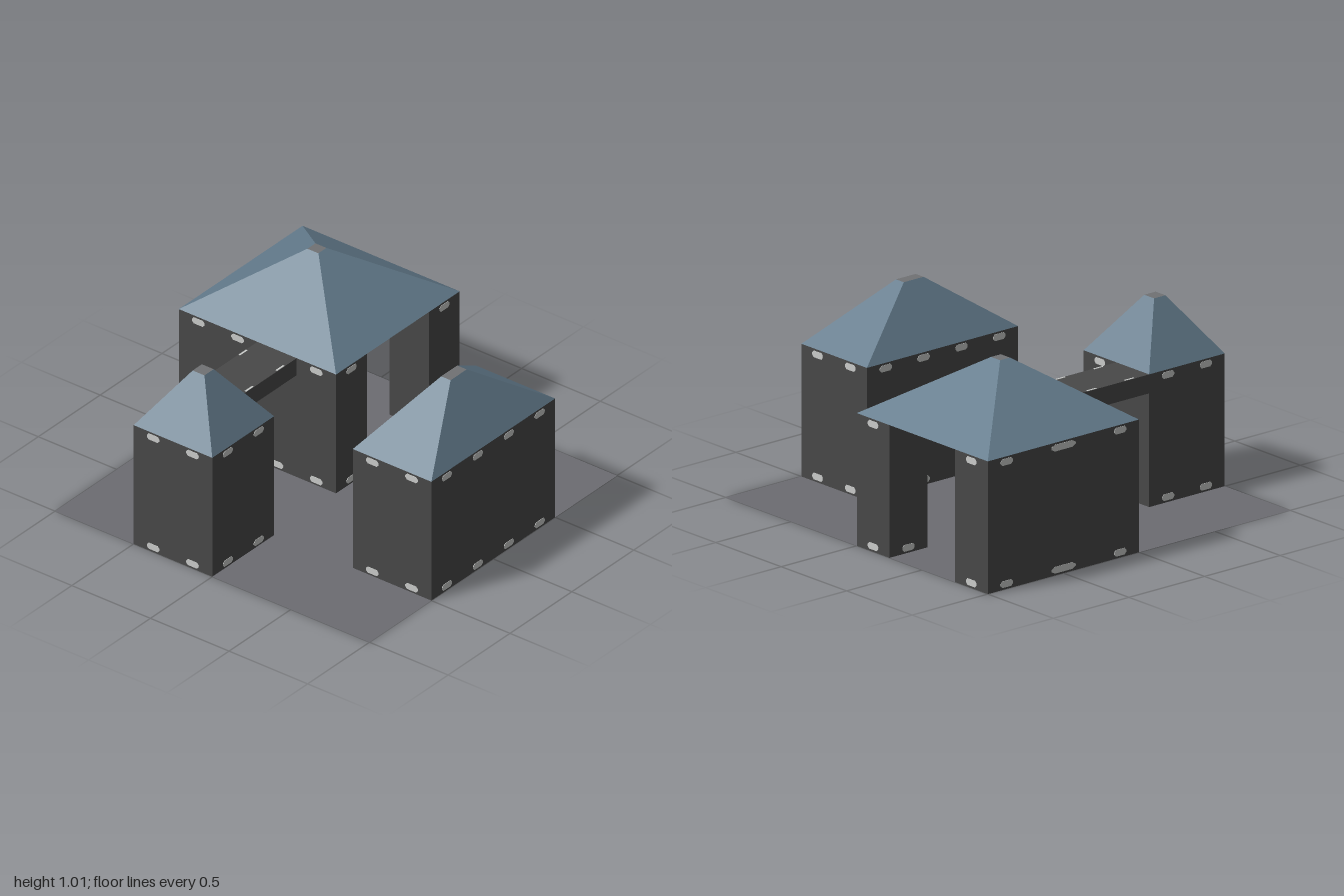
import * as THREE from 'three';

const mat = (name, color) => {
  const m = new THREE.MeshStandardMaterial({ color, side: THREE.DoubleSide });
  m.name = name;
  return m;
};

export function createModel() {
  const model = new THREE.Group();
  const wallGrey = mat('wallGrey', 0x484848);
  const roofBlue = mat('roofBlue', 0x637b8c);
  const groundGrey = mat('groundGrey', 0x6c6c72);
  const plateGrey = mat('plateGrey', 0xc9cbc9);
  const capGrey = mat('capGrey', 0x707274);
  const H = 0.7;

  const add = (parent, name, geo, material, x = 0, y = 0, z = 0) => {
    const mesh = new THREE.Mesh(geo, material);
    mesh.name = name;
    mesh.position.set(x, y, z);
    parent.add(mesh);
    return mesh;
  };

  // Thin pale plate with cut corners, showing on both sides of a wall
  const plateGeometry = (w, h) => {
    const a = w / 2, b = h / 2, cx = w * 0.14, cy = h * 0.35;
    const pts = [[-a, -b + cy], [-a + cx, -b], [a - cx, -b], [a, -b + cy],
      [a, b - cy], [a - cx, b], [-a + cx, b], [-a, b - cy]];
    const shape = new THREE.Shape(pts.map(p => new THREE.Vector2(...p)));
    return new THREE.ExtrudeGeometry(shape, { depth: 0.004, bevelEnabled: false }).translate(0, 0, -0.002);
  };

  // Upright wall between two ground points, split into panels with a plate at top and bottom
  function wall(parent, [ax, az], [bx, bz], panels, turned = false) {
    const len = Math.hypot(bx - ax, bz - az);
    const g = new THREE.Group();
    g.name = 'wall';
    g.position.set((ax + bx) / 2, 0, (az + bz) / 2);
    g.rotation.y = Math.atan2(-(bz - az), bx - ax);
    parent.add(g);
    add(g, 'wallPanel', new THREE.PlaneGeometry(len, H), wallGrey, 0, H / 2, 0);
    if (turned) {
      for (const s of [-1, 1])
        add(g, 'wallPlate', plateGeometry(0.045, 0.22), plateGrey, s * (len / 2 - 0.042), H / 2, 0);
      return;
    }
    const step = len / panels;
    for (let i = 0; i < panels; i++)
      for (const y of [0.028, H - 0.028])
        add(g, 'wallPlate', plateGeometry(step * 0.32, 0.035), plateGrey, -len / 2 + step * (i + 0.5), y, 0);
  }

  // Closed ring of four walls on a rectangular footprint
  function block(name, x0, x1, z0, z1) {
    const g = new THREE.Group();
    g.name = name;
    model.add(g);
    const c = [[x0, z1], [x1, z1], [x1, z0], [x0, z0]];
    c.forEach((p, i) => {
      const q = c[(i + 1) % 4];
      wall(g, p, q, Math.round(Math.hypot(q[0] - p[0], q[1] - p[1]) / 0.25));
    });
    return g;
  }

  // Truncated pyramid roof with a small flat cap, open underneath
  function roof(name, [x0, x1, z0, z1], [u0, u1, w0, w1], top) {
    const lo = [[x0, H, z1], [x1, H, z1], [x1, H, z0], [x0, H, z0]];
    const hi = [[u0, top, w1], [u1, top, w1], [u1, top, w0], [u0, top, w0]];
    const quads = (list) => {
      const pos = list.flatMap(([a, b, c, d]) => [a, b, c, a, c, d].flat());
      const geo = new THREE.BufferGeometry();
      geo.setAttribute('position', new THREE.Float32BufferAttribute(pos, 3));
      geo.computeVertexNormals();
      return geo;
    };
    const slopes = lo.map((p, i) => [p, lo[(i + 1) % 4], hi[(i + 1) % 4], hi[i]]);
    add(model, name, quads(slopes), roofBlue);
    add(model, name + 'Cap', quads([hi]), capGrey);
  }

  // Ground slabs, left open beneath the buildings
  const grounds = [
    [-1, -0.5, 0.5, 1], [0.5, 1, 0.5, 1], [-1, 1, 0, 0.5], [-0.5, 0, -0.5, 0],
    [-1, 0, -1, -0.5], [0.25, 1, -0.75, -0.25], [0.25, 0.75, -0.25, 0],
  ];
  const flat = (x0, x1, z0, z1, up = 1) =>
    new THREE.PlaneGeometry(x1 - x0, z1 - z0).rotateX(-up * Math.PI / 2)
      .translate((x0 + x1) / 2, 0, (z0 + z1) / 2);
  for (const r of grounds) add(model, 'ground', flat(...r), groundGrey);

  // Front house
  block('frontHouse', -0.5, 0.5, 0.5, 1);
  roof('frontHouseRoof', [-0.5, 0.5, 0.5, 1], [-0.065, 0.065, 0.72, 0.78], 1);

  // Small tower
  block('tower', -1, -0.5, -0.5, 0);
  roof('towerRoof', [-1, -0.5, -0.5, 0], [-0.79, -0.715, -0.29, -0.215], 1);

  // Open hall: long side wing, two corner pillars and a back wall
  const hall = new THREE.Group();
  hall.name = 'hall';
  model.add(hall);
  wall(hall, [0, -1], [0, 0], 4);
  wall(hall, [0, 0], [0.25, 0], 1);
  wall(hall, [0.25, 0], [0.25, -1], 1, true);
  wall(hall, [0.25, -1], [0, -1], 1);
  wall(hall, [0.75, -1], [0.25, -1], 1);
  block('frontPillar', 0.75, 1, -0.25, 0);
  block('backPillar', 0.75, 1, -1, -0.75);
  add(hall, 'hallFloor', flat(0.25, 0.75, -1, -0.75), groundGrey, 0, 0.003, 0);
  add(hall, 'hallFloorUnderside', flat(0.25, 0.75, -1, -0.75, -1), wallGrey);
  roof('hallRoof', [0, 1, -1, 0], [0.455, 0.52, -0.54, -0.47], 1.01);

  // Bridge between tower and hall
  add(model, 'bridge', new THREE.BoxGeometry(0.5, 0.1, 0.25), wallGrey, -0.25, 0.65, -0.375);
  for (const x of [-0.375, -0.125])
    for (const z of [-0.493, -0.257])
      add(model, 'bridgePlate', new THREE.BoxGeometry(0.06, 0.004, 0.011), plateGrey, x, 0.7, z);

  return model;
}
